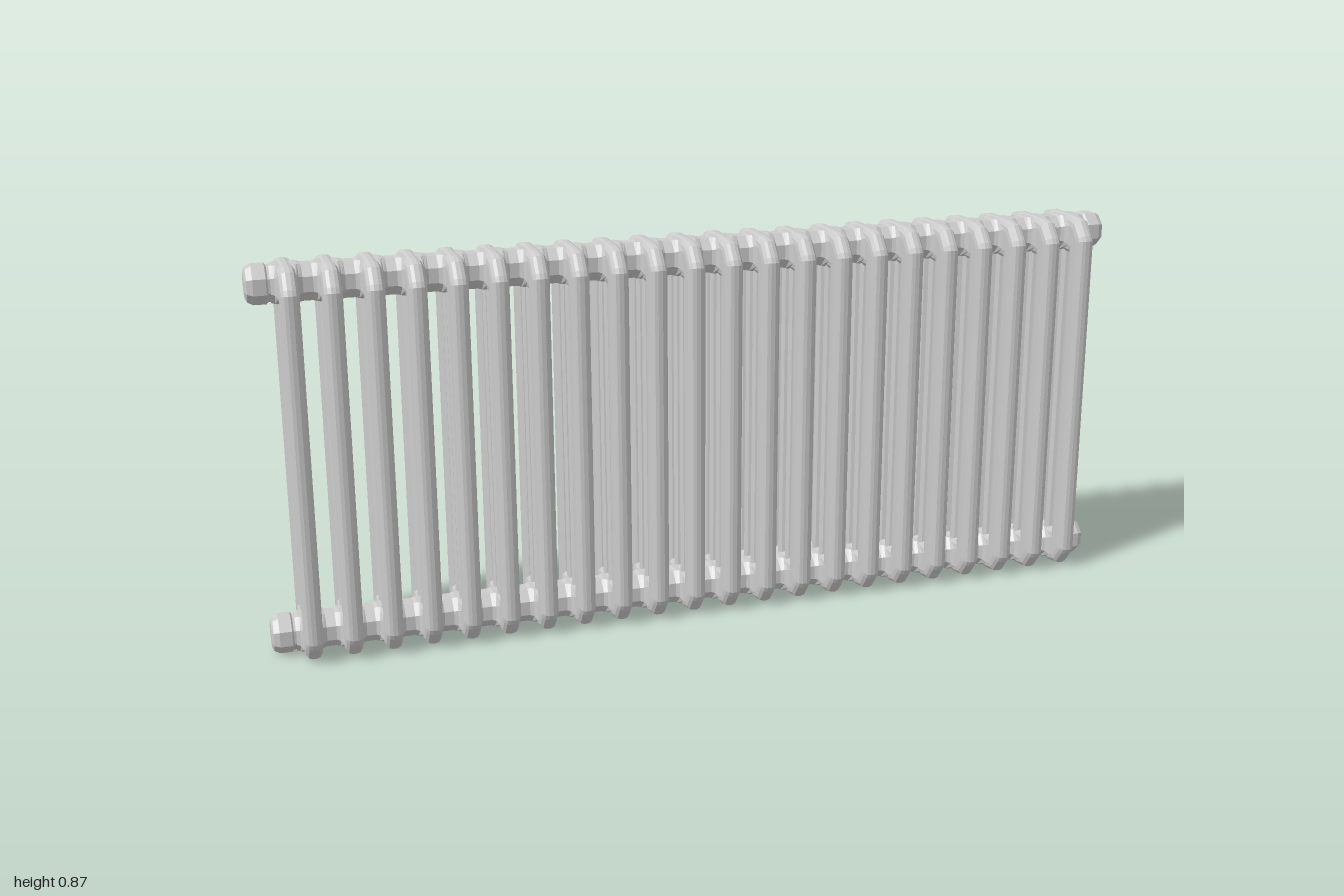
import * as THREE from 'three';

const COUNT = 22, PITCH = 0.0872, HEIGHT = 0.873;
const HUB_Y = [0.043, HEIGHT - 0.043];
const firstX = -PITCH * (COUNT - 1) / 2;

// Lathe around the x axis with eight flat sides; profile is [x, radius]
function latheX(profile, maxY = 1) {
  const k = 1 / Math.cos(Math.PI / 8);
  const geo = new THREE.LatheGeometry(
    profile.map(([x, r]) => new THREE.Vector2(r * k, x)), 8, Math.PI / 8);
  geo.rotateZ(-Math.PI / 2);
  const p = geo.attributes.position;
  for (let i = 0; i < p.count; i++) {
    p.setY(i, THREE.MathUtils.clamp(p.getY(i), -maxY, maxY));
  }
  return geo;
}

// Outer loop of a section: chamfered outline with a tall slot, rounded edges
function loopGeometry() {
  const corner = [[0.112, 0.05], [0.106, 0.038], [0.08, 0.006], [0.05, 0]];
  const back = [...corner].reverse();
  const outline = [
    ...back.map(([z, y]) => [z, y]),
    ...corner.map(([z, y]) => [z, HEIGHT - y]),
    ...back.map(([z, y]) => [-z, HEIGHT - y]),
    ...corner.map(([z, y]) => [-z, y]),
  ];
  const toPoints = (a) => a.map(([z, y]) => new THREE.Vector2(z, y));
  const shape = new THREE.Shape(toPoints(outline));
  shape.holes.push(new THREE.Path(toPoints([
    [-0.05, 0.088], [-0.05, HEIGHT - 0.088], [0.05, HEIGHT - 0.088], [0.05, 0.088],
  ])));
  const geo = new THREE.ExtrudeGeometry(shape, {
    depth: 0.01, bevelEnabled: true, bevelThickness: 0.015,
    bevelSize: 0.02, bevelOffset: -0.02, bevelSegments: 3,
  });
  geo.translate(0, 0, -0.005);
  geo.rotateY(Math.PI / 2);
  return geo;
}

export function createModel() {
  const model = new THREE.Group();
  model.name = 'radiator';
  const metal = new THREE.MeshStandardMaterial({ color: 0xcccccc, flatShading: true });
  const add = (parent, geo, name, x = 0, y = 0, z = 0) => {
    const mesh = new THREE.Mesh(geo, metal);
    mesh.name = name;
    mesh.position.set(x, y, z);
    parent.add(mesh);
    return mesh;
  };

  // Repeated sections: an outer loop and two inner columns
  const loopGeo = loopGeometry();
  const columnGeo = new THREE.CylinderGeometry(0.017, 0.017, HEIGHT - 0.1, 8, 1, true);
  for (let i = 0; i < COUNT; i++) {
    const section = new THREE.Group();
    section.name = 'section' + (i + 1);
    section.position.x = firstX + i * PITCH;
    add(section, loopGeo, 'outerLoop');
    for (const s of [-1, 1]) {
      add(section, columnGeo, 'innerColumn', 0, HEIGHT / 2, s * 0.0225);
    }
    model.add(section);
  }

  // Manifolds that flare into every section
  const profile = [];
  for (let i = 0; i < COUNT; i++) {
    const x = firstX + i * PITCH;
    profile.push([x - 0.033, 0.039], [x - 0.025, 0.044], [x - 0.02, 0.056],
      [x + 0.02, 0.056], [x + 0.025, 0.044], [x + 0.033, 0.039]);
  }
  const manifoldGeo = latheX(profile, 0.041);

  // End plugs with a chamfered face
  const plugGeo = latheX([[0.94, 0.037], [0.953, 0.037], [0.957, 0.041],
    [0.984, 0.041], [0.996, 0.035], [1, 0.027], [1, 0]]);
  for (const y of HUB_Y) {
    add(model, manifoldGeo, 'manifold', 0, y);
    add(model, plugGeo, 'leftPlug', 0, y);
    add(model, plugGeo, 'rightPlug', 0, y).rotation.y = Math.PI;
  }
  return model;
}
